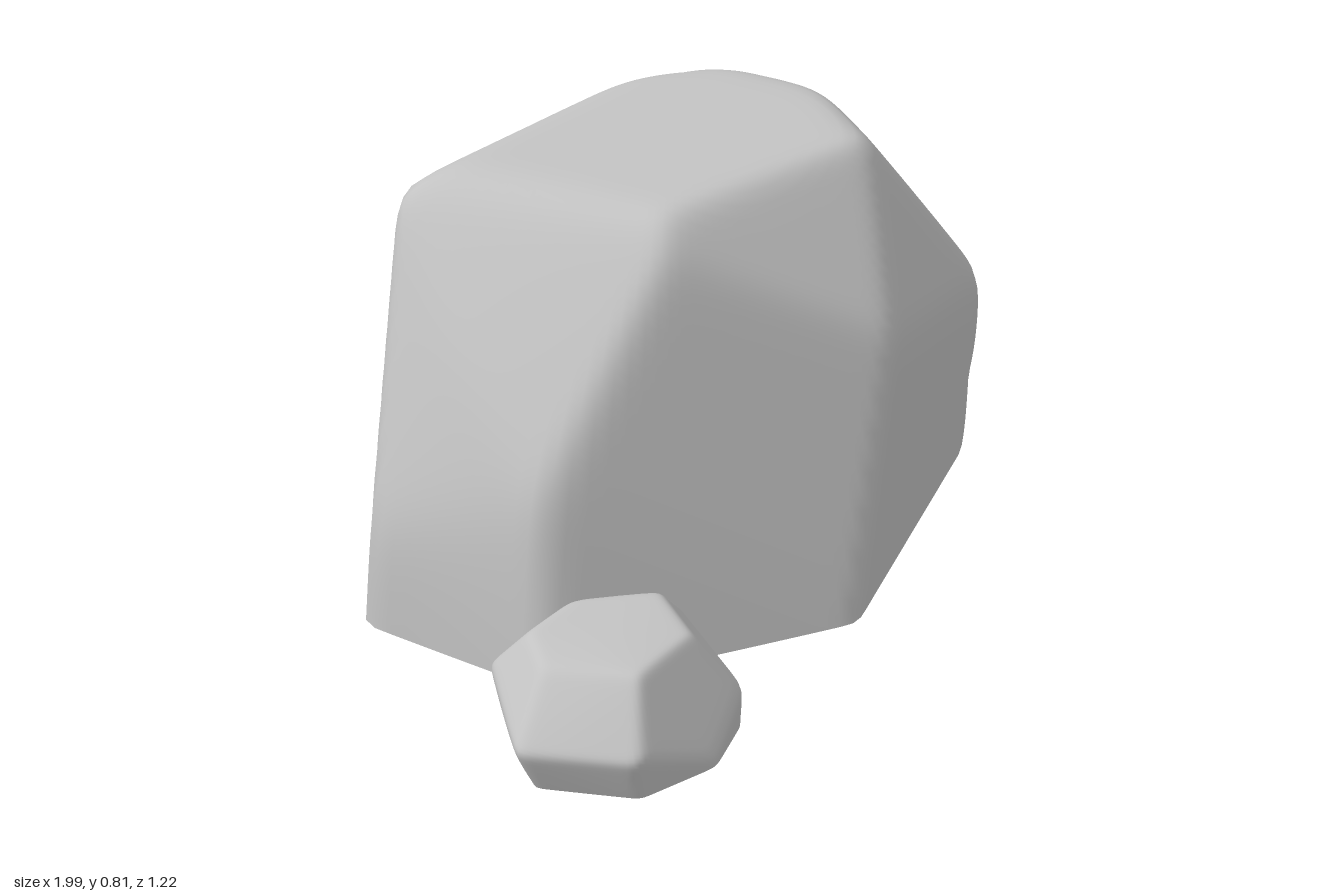
import * as THREE from 'three';
import { ConvexGeometry } from 'three/addons/geometries/ConvexGeometry.js';
import { mergeVertices } from 'three/addons/utils/BufferGeometryUtils.js';

const stone = new THREE.MeshStandardMaterial({ color: 0xc2c2c2 });
stone.name = 'grey stone';

// Facet planes of the hull around the corner points, each listed once, without the flat base.
function facetPlanes(corners, centre) {
  const pos = new ConvexGeometry(corners.map(p => new THREE.Vector3(...p))).getAttribute('position');
  const planes = [];
  const [a, b, c] = [0, 1, 2].map(() => new THREE.Vector3());
  for (let i = 0; i < pos.count; i += 3) {
    a.fromBufferAttribute(pos, i);
    b.fromBufferAttribute(pos, i + 1);
    c.fromBufferAttribute(pos, i + 2);
    const n = b.clone().sub(a).cross(c.clone().sub(a)).normalize();
    const h = n.dot(a.clone().sub(centre));
    if (n.y < -0.98 || h < 0.01) continue;
    if (!planes.some(q => q.n.dot(n) > 0.997)) planes.push({ n, h });
  }
  return planes;
}

// A boulder: rays from the base centre meet the facets, blended so the edges are worn round.
function boulder(name, cx, cz, corners, sharpness) {
  const centre = new THREE.Vector3(cx, 0, cz);
  const planes = facetPlanes(corners, centre);
  const rings = 56, segs = 128;
  const verts = [], index = [], rim = [cx, 0, cz], baseIndex = [];
  const d = new THREE.Vector3();
  for (let i = 0; i <= rings; i++) {
    const t = (i / rings) * Math.PI / 2;
    for (let j = 0; j < segs; j++) {
      const f = (j / segs) * Math.PI * 2;
      d.set(Math.sin(t) * Math.cos(f), Math.cos(t), Math.sin(t) * Math.sin(f));
      let sum = 0;
      for (const { n, h } of planes) sum += Math.pow(Math.max(0, n.dot(d)) / h * 0.1, sharpness);
      const r = 0.1 * 1.012 / Math.pow(sum, 1 / sharpness);
      const y = i === rings ? 0 : d.y * r;
      verts.push(cx + d.x * r, y, cz + d.z * r);
      if (i === rings) rim.push(cx + d.x * r, 0, cz + d.z * r);
      const k = (j + 1) % segs;
      if (i < rings) {
        const p = i * segs + j, q = i * segs + k;
        if (i > 0) index.push(p, q, p + segs);
        index.push(q, q + segs, p + segs);
      } else baseIndex.push(0, j + 1, k + 1);
    }
  }
  const build = (points, faces) => {
    let g = new THREE.BufferGeometry();
    g.setAttribute('position', new THREE.Float32BufferAttribute(points, 3));
    g.setIndex(faces);
    g = mergeVertices(g, 1e-5);
    g.computeVertexNormals();
    return g;
  };
  const group = new THREE.Group();
  group.name = name;
  const body = new THREE.Mesh(build(verts, index), stone);
  body.name = name + 'Body';
  const base = new THREE.Mesh(build(rim, baseIndex), stone);
  base.name = name + 'Base';
  group.add(body, base);
  return group;
}

export function createModel() {
  const model = new THREE.Group();
  model.name = 'boulders';

  // Large central boulder
  model.add(boulder('mainBoulder', -0.05, 0, [
    // footprint
    [-0.18, 0, 0.515], [0.53, 0, 0.275], [0.55, 0, -0.16], [0.17, 0, -0.485],
    [-0.33, 0, -0.495], [-0.73, 0, -0.19], [-0.71, 0, 0.22],
    // waist
    [0.62, 0.33, 0.25], [0.575, 0.3, -0.12], [0.0, 0.5, 0.465],
    [-0.66, 0.34, 0.18], [-0.72, 0.2, -0.18], [-0.59, 0.53, -0.06],
    // shoulders
    [0.435, 0.7, -0.14], [0.545, 0.59, 0.02], [0.17, 0.795, 0.28], [-0.34, 0.77, 0.19],
    [-0.46, 0.75, -0.32], [0.14, 0.74, -0.335],
    // crown
    [0.3, 0.805, 0.06], [0.29, 0.79, -0.17], [-0.37, 0.79, -0.26], [0.14, 0.79, -0.27],
  ], 75));

  // Medium boulder, back left
  model.add(boulder('mediumBoulder', 0.7, -0.36, [
    [0.42, 0, -0.34], [0.58, 0, -0.16], [0.83, 0, -0.12], [0.96, 0, -0.28],
    [0.99, 0, -0.5], [0.8, 0, -0.605], [0.5, 0, -0.58],
    [0.37, 0.14, -0.4], [0.58, 0.12, -0.12], [0.83, 0.12, -0.07], [0.98, 0.1, -0.27],
    [1.0, 0.12, -0.51], [0.8, 0.22, -0.61], [0.45, 0.18, -0.57], [0.9, 0.14, -0.11],
    [0.55, 0.33, -0.26], [0.86, 0.345, -0.27], [0.94, 0.27, -0.5],
    [0.8, 0.3, -0.56], [0.52, 0.31, -0.5], [0.45, 0.26, -0.4],
  ], 50));

  // Small boulder, front right
  model.add(boulder('smallBoulder', -0.75, 0.41, [
    [-0.96, 0, 0.41], [-0.88, 0, 0.57], [-0.72, 0, 0.61], [-0.58, 0, 0.56],
    [-0.52, 0, 0.37], [-0.68, 0, 0.24], [-0.84, 0, 0.24],
    [-1.0, 0.08, 0.4], [-0.9, 0.08, 0.58], [-0.59, 0.08, 0.57],
    [-0.505, 0.13, 0.36], [-0.69, 0.13, 0.215], [-0.85, 0.12, 0.215],
    [-0.89, 0.19, 0.37], [-0.82, 0.2, 0.52], [-0.66, 0.2, 0.51],
    [-0.6, 0.215, 0.39], [-0.7, 0.21, 0.29], [-0.83, 0.205, 0.29],
  ], 50));

  return model;
}
